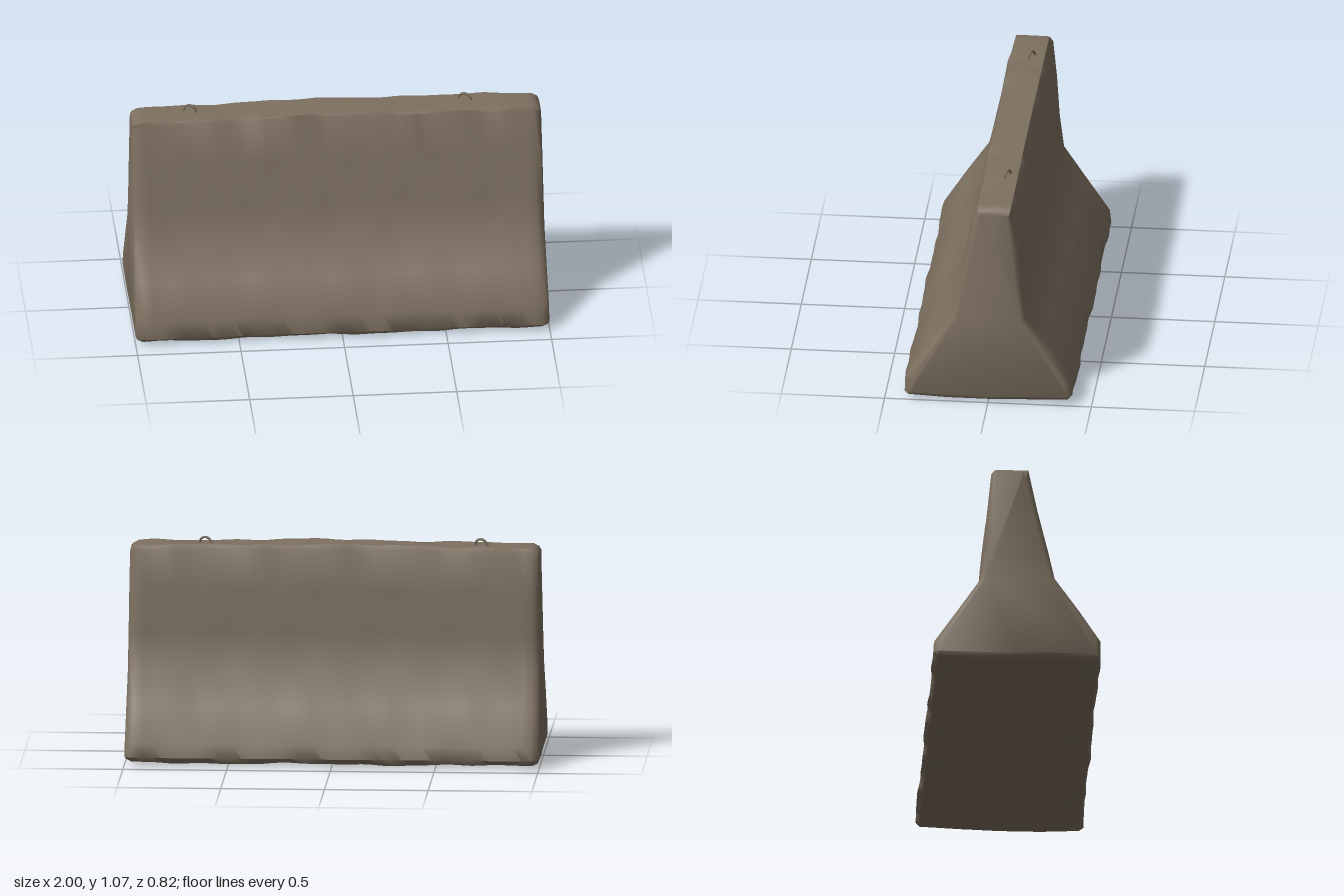
import * as THREE from 'three';
import { toCreasedNormals } from 'three/addons/utils/BufferGeometryUtils.js';

const concrete = new THREE.MeshStandardMaterial({ color: 0x7d7060 });
concrete.name = 'weathered concrete';

// Cross-section corners [z, y], from the front foot over the top to the back foot
const PROFILE = [
  [0.385, 0.022], [0.4, 0.04], [0.4, 0.13], [0.29, 0.295], [0.178, 0.46], [0.15, 0.6], [0.1, 0.83],
  [0.06, 1.02], [0.052, 1.032], [-0.03, 1.034], [-0.108, 1.034], [-0.122, 1.01], [-0.145, 0.83],
  [-0.162, 0.62], [-0.18, 0.45], [-0.285, 0.285], [-0.395, 0.115], [-0.405, 0.05], [-0.385, 0.024],
  [-0.2, 0.016], [0, 0.018], [0.2, 0.016],
];
const N = PROFILE.length;

// Outward normal of each profile corner
const NORMALS = PROFILE.map((p, i) => {
  const a = PROFILE[(i + N - 1) % N], b = PROFILE[(i + 1) % N];
  return new THREE.Vector2(a[1] - b[1], b[0] - a[0]).normalize().negate();
});

// Gentle surface unevenness
const wobble = (x, i) =>
  0.004 * Math.sin(x * 7.3 + i * 0.9) + 0.003 * Math.sin(x * 17.1 - i * 1.7) + 0.002 * Math.sin(x * 31 + i * 2.3);

// One ring of points; inset pulls the outline inwards for the worn ends
function ring(x, inset) {
  const side = Math.sign(x);
  return PROFILE.map(([z, y], i) => {
    const n = NORMALS[i];
    const d = wobble(x, i) * 0.8 - inset;
    const crown = y > 1 ? 0.014 * Math.cos(x * Math.PI / 2) : 0;
    const end = Math.abs(x) > 0.95 ? side * 0.012 * y : 0;
    return [x - end, Math.max(0.006, y + n.y * d + crown), z + n.x * d];
  });
}

function barrierGeometry() {
  const rings = [ring(-1, 0.028), ring(-0.992, 0.012), ring(-0.965, 0)];
  const steps = 40;
  for (let s = 1; s < steps; s++) rings.push(ring(-0.965 + 1.93 * s / steps, 0));
  rings.push(ring(0.965, 0), ring(0.992, 0.012), ring(1, 0.028));

  const index = [];
  for (let r = 0; r < rings.length - 1; r++) {
    for (let i = 0; i < N; i++) {
      const j = (i + 1) % N;
      const a = r * N + i, b = r * N + j, c = a + N, d = b + N;
      index.push(a, c, b, b, c, d);
    }
  }
  // End faces
  const last = (rings.length - 1) * N;
  const outline = rings[0].map(([, y, z]) => new THREE.Vector2(z, y));
  for (const [a, b, c] of THREE.ShapeUtils.triangulateShape(outline, [])) {
    const ccw = THREE.ShapeUtils.area([outline[a], outline[b], outline[c]]) > 0;
    const [p, q] = ccw ? [b, c] : [c, b];
    index.push(a, p, q, last + a, last + q, last + p);
  }
  const g = new THREE.BufferGeometry();
  g.setAttribute('position', new THREE.Float32BufferAttribute(rings.flat(2), 3));
  g.setIndex(index);
  return toCreasedNormals(g, 0.75);
}

// Lifting loop: a bent bar rising from the top
function liftingLoop(x, z) {
  const curve = new THREE.CatmullRomCurve3([
    [-0.036, -0.02], [-0.034, 0.015], [-0.018, 0.036], [0.004, 0.04], [0.024, 0.027], [0.03, 0], [0.03, -0.02],
  ].map(([u, v]) => new THREE.Vector3(u, v, 0)));
  const loop = new THREE.Mesh(new THREE.TubeGeometry(curve, 20, 0.006, 6), concrete);
  loop.position.set(x, 1.031, z);
  loop.rotation.y = -0.4;
  return loop;
}

export function createModel() {
  const model = new THREE.Group();
  model.name = 'concreteBarrier';

  const body = new THREE.Mesh(barrierGeometry(), concrete);
  body.name = 'barrierBody';
  model.add(body);

  const right = liftingLoop(-0.7, -0.045);
  right.name = 'rightLiftingLoop';
  const left = liftingLoop(0.628, -0.058);
  left.name = 'leftLiftingLoop';
  model.add(right, left);
  return model;
}
